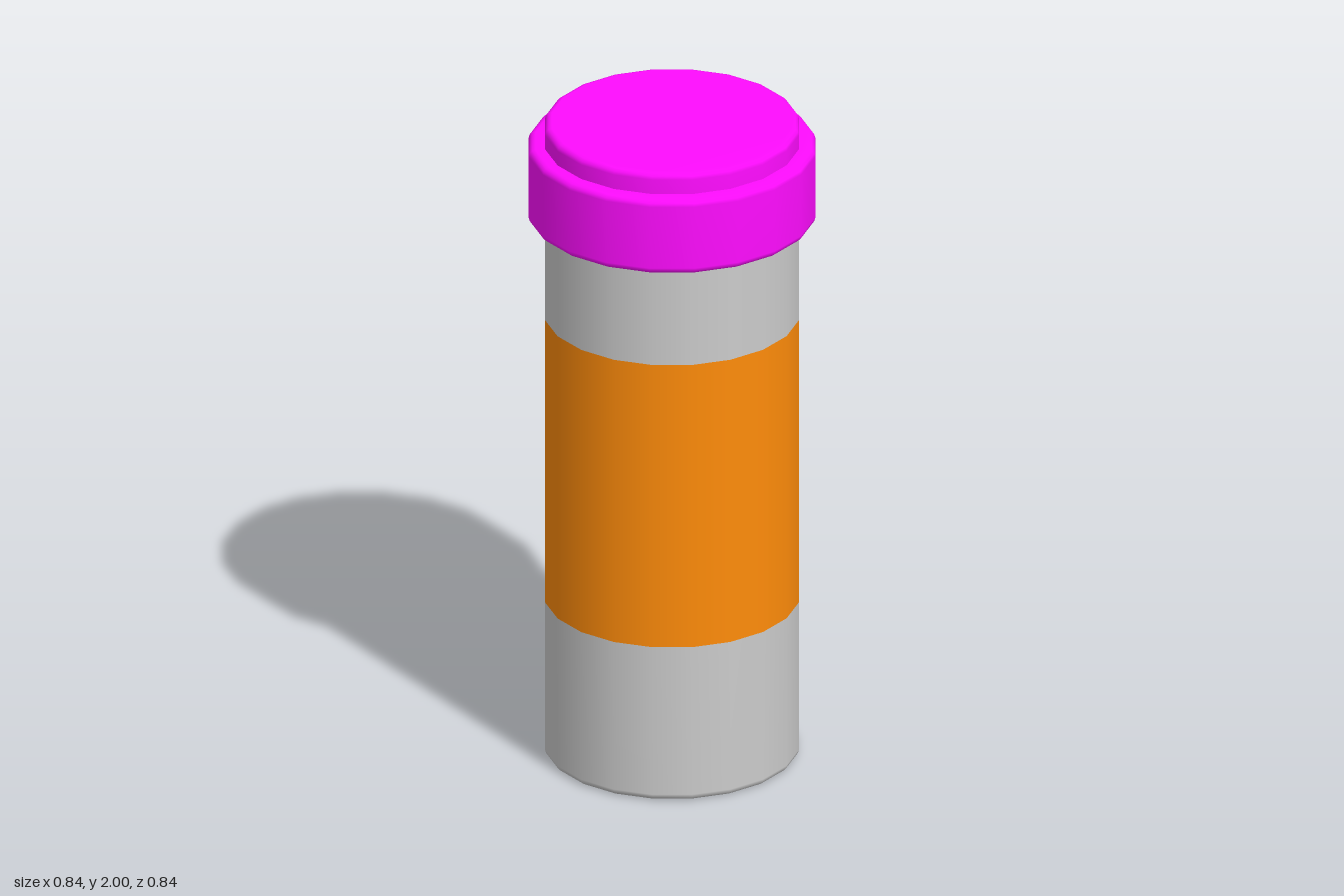
import * as THREE from 'three';

const SIDES = 20;
const BODY_R = 0.372;
const CAP_R = 0.42;
const BEVEL = 0.02;

// Quarter-round edge from angle a0 to a0 + 90 degrees, centred on (x, y)
function roundEdge(x, y, a0) {
  const pts = [];
  for (let i = 0; i <= 3; i++) {
    const a = a0 + (i / 3) * Math.PI / 2;
    pts.push([x + BEVEL * Math.cos(a), y + BEVEL * Math.sin(a)]);
  }
  return pts;
}
const bottomEdge = (r, y) => roundEdge(r - BEVEL, y + BEVEL, -Math.PI / 2);
const topEdge = (r, y) => roundEdge(r - BEVEL, y - BEVEL, 0);

export function createModel() {
  const model = new THREE.Group();
  const grey = new THREE.MeshStandardMaterial({ color: 0xcccccc });
  const orange = new THREE.MeshStandardMaterial({ color: 0xff8c0a });
  const magenta = new THREE.MeshStandardMaterial({ color: 0xff0cff });

  // Turned part from a profile that runs bottom to top
  function turned(name, profile, material) {
    const points = profile.map(([x, y]) => new THREE.Vector2(x, y));
    const mesh = new THREE.Mesh(new THREE.LatheGeometry(points, SIDES), material);
    mesh.name = name;
    model.add(mesh);
  }

  // Bottle: closed base, label band flush with the wall, plain neck
  turned('bottleBase', [[0, 0], ...bottomEdge(BODY_R, 0), [BODY_R, 0.49]], grey);
  turned('label', [[BODY_R, 0.49], [BODY_R, 1.39]], orange);
  turned('bottleNeck', [[BODY_R, 1.39], [BODY_R, 1.72]], grey);

  // Lid: wide collar with a raised disc on top
  turned('lidCollar', [[0.36, 1.7], ...bottomEdge(CAP_R, 1.7), ...topEdge(CAP_R, 1.935), [0.36, 1.935]], magenta);
  turned('lidTop', [[BODY_R, 1.92], ...topEdge(BODY_R, 2), [0, 2]], magenta);

  return model;
}
